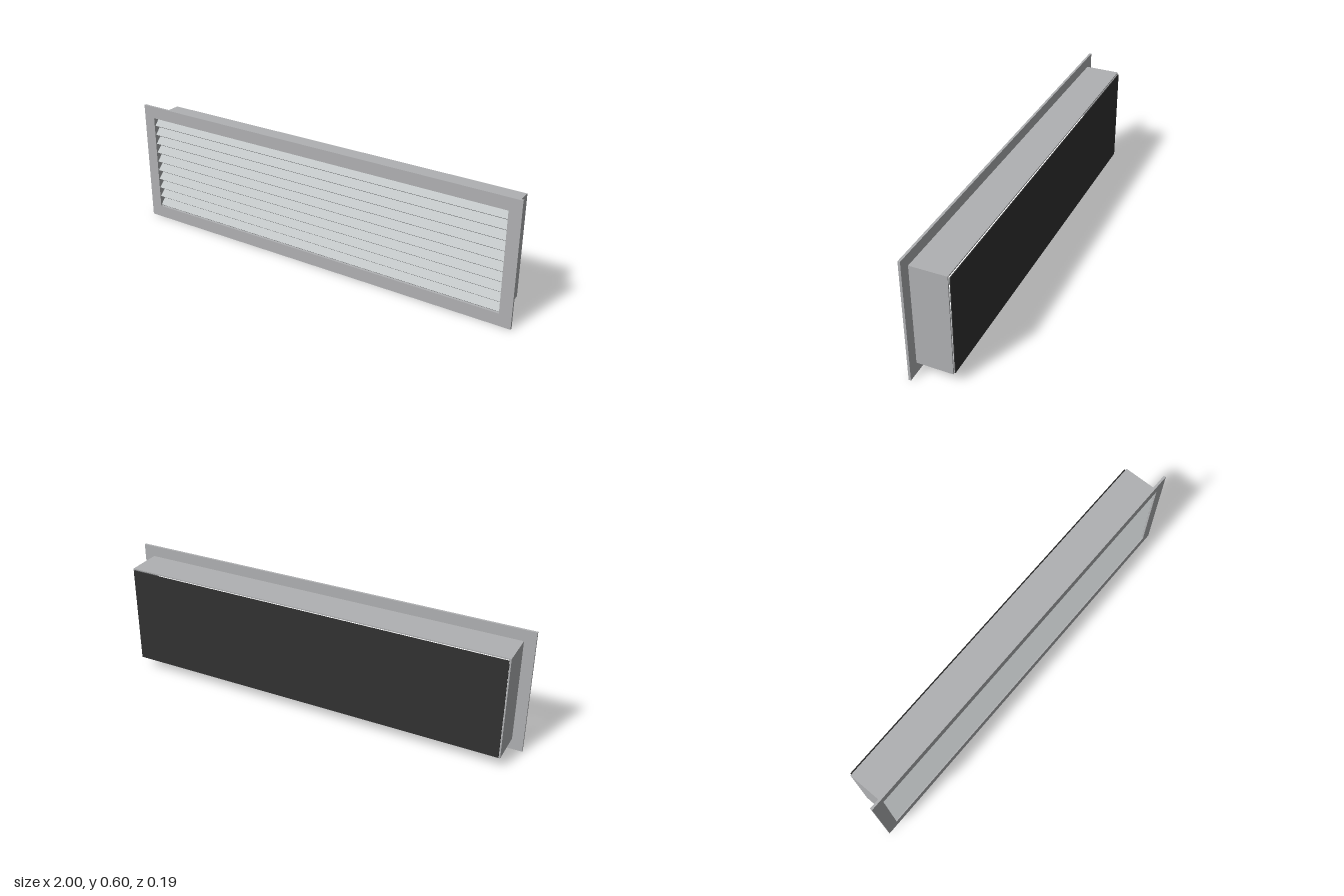
import * as THREE from 'three';

// Rectangle outline centred on x, from y0 to y1
function rectangle(PathType, halfWidth, y0, y1) {
  const p = new PathType();
  p.moveTo(-halfWidth, y0);
  p.lineTo(halfWidth, y0);
  p.lineTo(halfWidth, y1);
  p.lineTo(-halfWidth, y1);
  p.closePath();
  return p;
}

// Rectangular ring around the grille opening, extruded from z0 to z1
function ring(halfWidth, y0, y1, z0, z1) {
  const shape = rectangle(THREE.Shape, halfWidth, y0, y1);
  shape.holes.push(rectangle(THREE.Path, 0.942, 0.06, 0.543));
  const geometry = new THREE.ExtrudeGeometry(shape, { depth: z1 - z0, bevelEnabled: false });
  return geometry.translate(0, 0, z0);
}

export function createModel() {
  const group = new THREE.Group();
  const frameGrey = new THREE.MeshStandardMaterial({ color: 0xb0b1b3 });
  frameGrey.name = 'frame grey';
  const slatGrey = new THREE.MeshStandardMaterial({ color: 0xc0c4c5 });
  slatGrey.name = 'slat light grey';
  const backBlack = new THREE.MeshStandardMaterial({ color: 0x313131 });
  backBlack.name = 'back black';

  function add(name, geometry, material, parent = group) {
    const mesh = new THREE.Mesh(geometry, material);
    mesh.name = name;
    parent.add(mesh);
    return mesh;
  }

  // Front flange and the duct collar behind it
  add('flange', ring(1, 0, 0.602, 0.083, 0.094), frameGrey);
  add('duct', ring(0.948, 0.054, 0.549, -0.086, 0.083), frameGrey);

  // Dark panel just behind the duct
  add('backPanel', new THREE.BoxGeometry(1.884, 0.482, 0.004), backBlack)
    .position.set(0, 0.301, -0.092);

  // Ten fixed slats, front edge low and back edge high
  const slats = new THREE.Group();
  slats.name = 'slats';
  group.add(slats);
  const slatGeometry = new THREE.BoxGeometry(1.884, 0.006, 0.053);
  for (let i = 0; i < 10; i++) {
    const slat = add('slat', slatGeometry, slatGrey, slats);
    slat.position.set(0, 0.0835 + i * 0.0484, 0.069);
    slat.rotation.x = Math.PI / 4;
  }
  return group;
}
